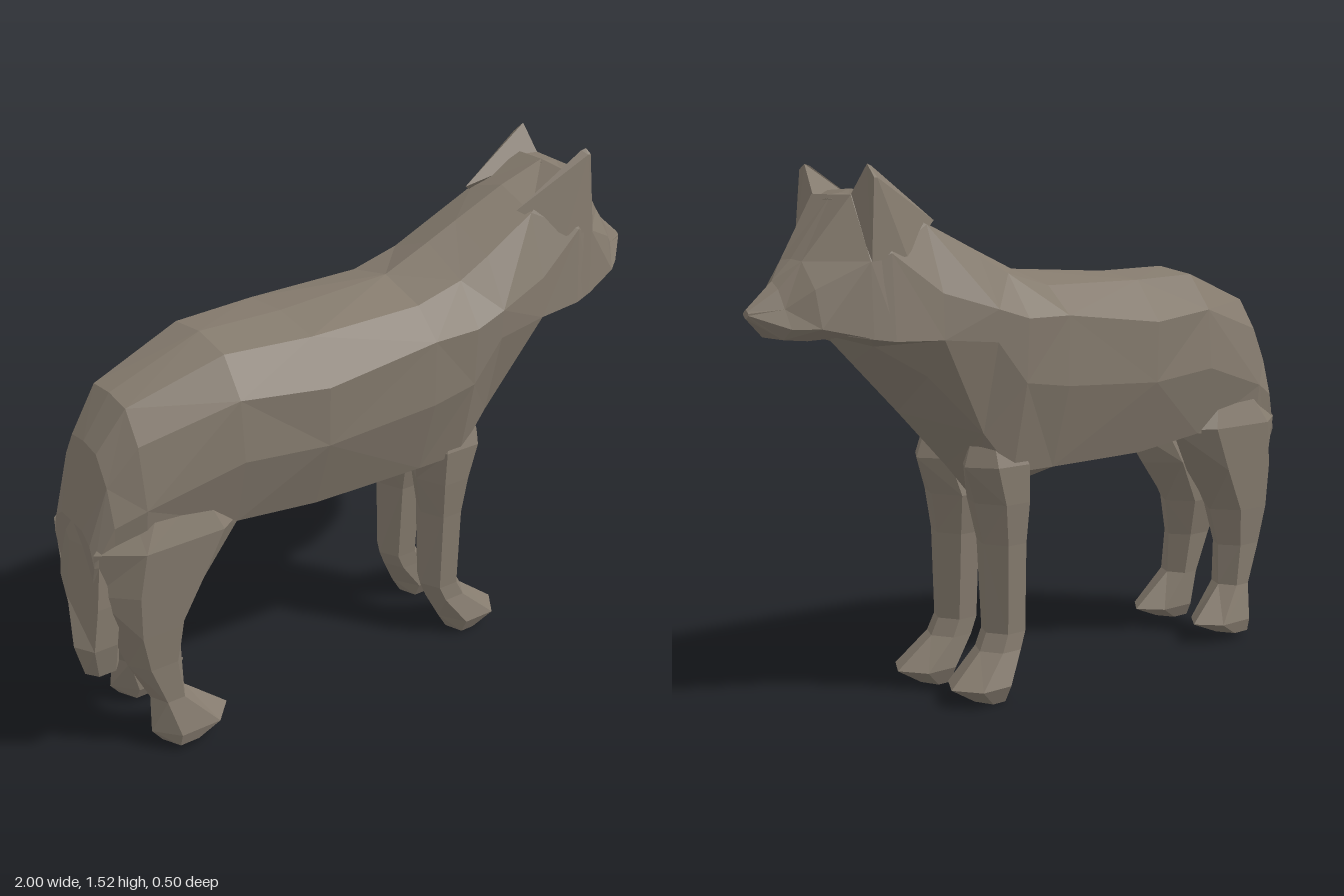
import * as THREE from 'three';

const fur = new THREE.MeshStandardMaterial({ color: 0x857b6e });
fur.name = 'greyBrownFur';
fur.flatShading = true;

// Joins closed rings of points into a faceted, capped solid facing outwards
function loft(name, rings) {
  const tris = [];
  const n = rings[0].length;
  for (let r = 0; r < rings.length - 1; r++) {
    for (let i = 0; i < n; i++) {
      const j = (i + 1) % n;
      const a = rings[r][i], b = rings[r][j], c = rings[r + 1][j], d = rings[r + 1][i];
      if ((r + i) % 2) tris.push([a, b, c], [a, c, d]);
      else tris.push([a, b, d], [b, c, d]);
    }
  }
  const first = rings[0], last = rings[rings.length - 1];
  for (let i = 1; i < n - 1; i++) {
    tris.push([first[0], first[i + 1], first[i]], [last[0], last[i], last[i + 1]]);
  }
  // A negative signed volume means the faces wind inwards
  let volume = 0;
  for (const [a, b, c] of tris) volume += a.dot(b.clone().cross(c));
  if (volume < 0) tris.forEach((t) => t.reverse());
  const geometry = new THREE.BufferGeometry().setFromPoints(tris.flat());
  geometry.computeVertexNormals();
  const mesh = new THREE.Mesh(geometry, fur);
  mesh.name = name;
  return mesh;
}

// Symmetric section across x: top y, four [z, y] side points, bottom y
function section([x, top, sides, bottom]) {
  const left = sides.map(([z, y]) => new THREE.Vector3(x, y, z));
  const right = sides.map(([z, y]) => new THREE.Vector3(x, y, -z)).reverse();
  return [new THREE.Vector3(x, top, 0), ...left, new THREE.Vector3(x, bottom, 0), ...right];
}

// Six-sided horizontal ring filling x0..x1 and z0..z1; side mirrors z
function limbRing([y, x0, x1, z0, z1], side = 1) {
  const ring = [];
  for (let k = 0; k < 6; k++) {
    const a = (k * Math.PI) / 3;
    const x = (x0 + x1) / 2 + ((x1 - x0) / 2) * Math.cos(a);
    const z = (z0 + z1) / 2 + ((z1 - z0) / 2) * (Math.sin(a) / 0.866);
    ring.push(new THREE.Vector3(x, y, z * side));
  }
  return ring;
}

// Rump to neck
const torso = [
  [-0.94, 0.75, [[0.06, 0.75], [0.1, 0.72], [0.12, 0.66], [0.1, 0.6]], 0.56],
  [-0.885, 0.98, [[0.07, 0.97], [0.12, 0.89], [0.15, 0.78], [0.13, 0.65]], 0.6],
  [-0.8, 1.1, [[0.09, 1.09], [0.15, 1.0], [0.18, 0.82], [0.16, 0.67]], 0.62],
  [-0.52, 1.205, [[0.13, 1.185], [0.21, 1.08], [0.225, 0.9], [0.17, 0.69]], 0.67],
  [-0.26, 1.2, [[0.16, 1.18], [0.25, 1.06], [0.245, 0.88], [0.17, 0.66]], 0.635],
  [0.1, 1.22, [[0.16, 1.18], [0.25, 1.1], [0.25, 0.9], [0.18, 0.66]], 0.6],
  [0.25, 1.285, [[0.16, 1.22], [0.25, 1.1], [0.24, 0.92], [0.18, 0.66]], 0.56],
  [0.35, 1.33, [[0.155, 1.27], [0.24, 1.13], [0.235, 1.04], [0.17, 0.78]], 0.67],
  [0.52, 1.405, [[0.14, 1.36], [0.21, 1.18], [0.215, 1.055], [0.14, 0.95]], 0.84],
  [0.67, 1.455, [[0.1, 1.45], [0.185, 1.29], [0.2, 1.06], [0.1, 1.04]], 0.99],
  [0.74, 1.43, [[0.09, 1.42], [0.165, 1.26], [0.18, 1.07], [0.08, 1.07]], 1.065],
];

// Cheeks to nose
const head = [
  [0.66, 1.45, [[0.1, 1.44], [0.18, 1.28], [0.2, 1.06], [0.08, 1.06]], 1.06],
  [0.73, 1.44, [[0.09, 1.44], [0.175, 1.27], [0.185, 1.07], [0.08, 1.07]], 1.065],
  [0.86, 1.275, [[0.05, 1.27], [0.11, 1.2], [0.14, 1.1], [0.07, 1.065]], 1.065],
  [0.92, 1.22, [[0.03, 1.2], [0.06, 1.15], [0.09, 1.1], [0.05, 1.07]], 1.07],
  [1.0, 1.15, [[0.008, 1.145], [0.012, 1.14], [0.012, 1.135], [0.008, 1.13]], 1.125],
];

// Limb rings: y, x0, x1, z0, z1
const frontLeg = [
  [0.79, 0.22, 0.33, 0.06, 0.15],
  [0.68, 0.14, 0.37, 0.03, 0.19],
  [0.57, 0.15, 0.325, 0.01, 0.187],
  [0.45, 0.165, 0.3, 0.035, 0.177],
  [0.19, 0.165, 0.295, 0.05, 0.17],
  [0.14, 0.185, 0.32, 0.05, 0.175],
  [0.05, 0.23, 0.435, 0.045, 0.205],
  [0.0, 0.26, 0.35, 0.07, 0.18],
];
const hindLeg = [
  [0.82, -0.82, -0.56, 0.06, 0.16],
  [0.7, -0.94, -0.46, 0.04, 0.2],
  [0.56, -0.94, -0.55, 0.01, 0.19],
  [0.42, -0.9, -0.66, 0.02, 0.18],
  [0.3, -0.86, -0.69, 0.05, 0.17],
  [0.17, -0.8, -0.69, 0.06, 0.17],
  [0.06, -0.81, -0.56, 0.06, 0.2],
  [0.02, -0.78, -0.66, 0.08, 0.19],
];

// Broad at the rump, with its tip hanging to one side
const tail = [
  [0.96, -0.89, -0.82, -0.07, 0.07],
  [0.7, -0.955, -0.82, -0.11, 0.12],
  [0.53, -0.98, -0.84, -0.1, 0.13],
  [0.4, -1.0, -0.86, 0.015, 0.13],
  [0.3, -0.975, -0.87, 0.04, 0.11],
];

// Ear rising out of the mane; outer is the [y, z] of the tip's outer corner
function ear(name, side, outer) {
  const p = (x, y, z) => new THREE.Vector3(x, y, z * side);
  const [y, z] = outer;
  const base = [p(0.73, 1.43, 0.08), p(0.73, 1.27, 0.18), p(0.62, 1.28, 0.185), p(0.48, 1.37, 0.12)];
  const tip = [p(0.715, 1.52, 0.143), p(0.72, y, z), p(0.71, y, z), p(0.7, 1.515, 0.14)];
  return loft(name, [base, tip]);
}

export function createModel() {
  const model = new THREE.Group();
  model.name = 'wolf';
  model.add(loft('torso', torso.map(section)));
  model.add(loft('head', head.map(section)));
  model.add(loft('tail', tail.map((r) => limbRing(r))));
  // Paired legs, mirrored across z
  for (const side of [1, -1]) {
    const label = side > 0 ? 'near' : 'far';
    model.add(loft(label + 'FrontLeg', frontLeg.map((r) => limbRing(r, side))));
    model.add(loft(label + 'HindLeg', hindLeg.map((r) => limbRing(r, side))));
  }
  model.add(ear('nearEar', 1, [1.505, 0.16]), ear('farEar', -1, [1.485, 0.18]));
  return model;
}
